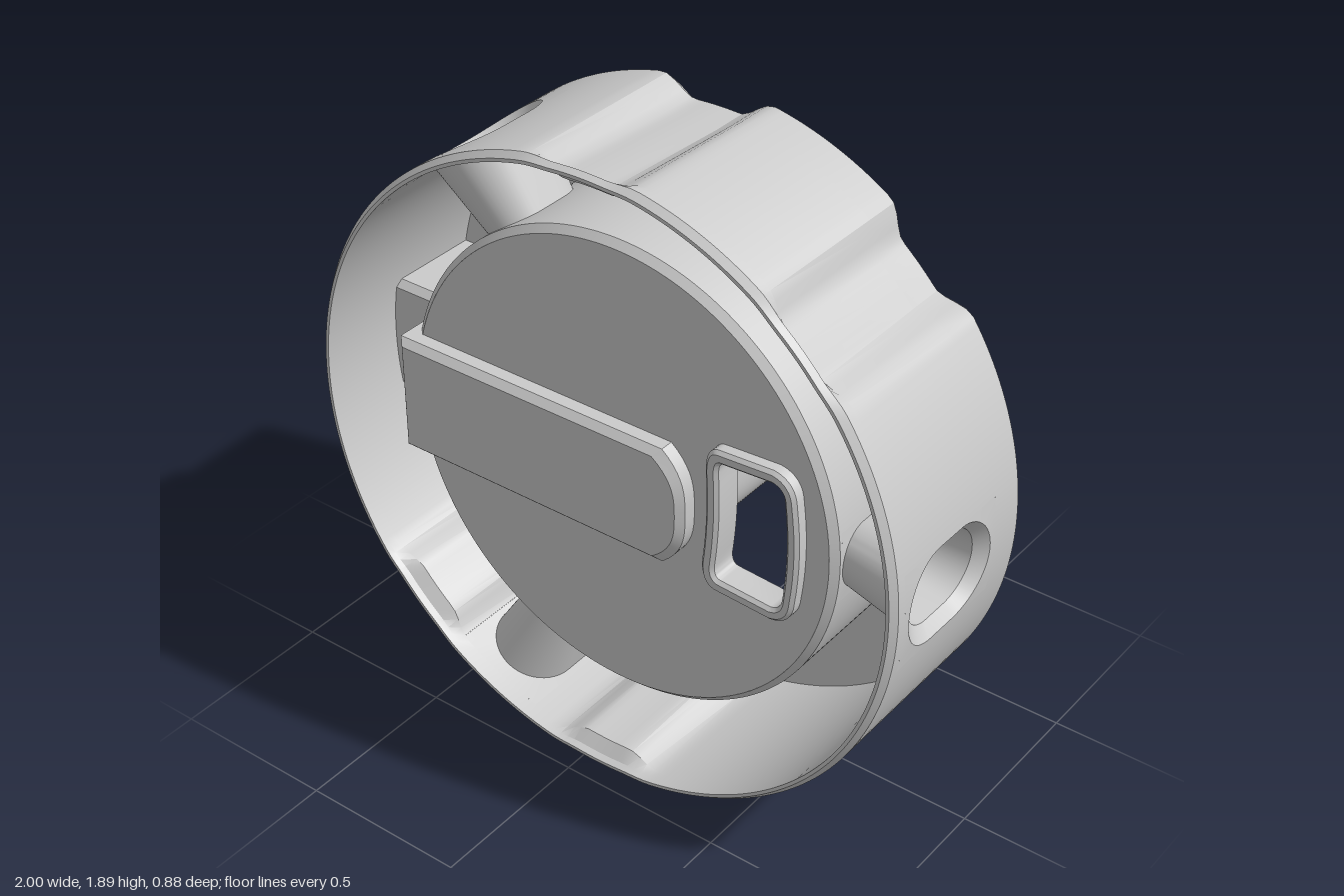
import * as THREE from 'three';
import { toCreasedNormals } from 'three/addons/utils/BufferGeometryUtils.js';

const CX = 0.045, CY = 0.945, DEG = Math.PI / 180;
const STEP = 1.5, SEGMENTS = 240, START = -1;
const SPOKES = [-1, 125, 245], SPOKE_HALF = 9;
const NOTCHES = [46, 91, 226, 271];
const material = new THREE.MeshStandardMaterial({ color: 0xcccccc, side: THREE.DoubleSide });

// Skin a list of closed loops; skip(row, column) leaves openings
function skin(loops, flip = false, skip = () => false) {
  const pos = [];
  for (let i = 0; i < loops.length - 1; i++) {
    const n = loops[i].length;
    for (let j = 0; j < n; j++) {
      if (skip(i, j)) continue;
      const k = (j + 1) % n;
      const a = loops[i][j], b = loops[i][k], c = loops[i + 1][k], d = loops[i + 1][j];
      const order = flip ? [a, c, b, a, d, c] : [a, b, c, a, c, d];
      order.forEach(p => pos.push(...p));
    }
  }
  const g = new THREE.BufferGeometry();
  g.setAttribute('position', new THREE.Float32BufferAttribute(pos, 3));
  return toCreasedNormals(g, 0.45);
}

function add(parent, name, geometry) {
  const mesh = new THREE.Mesh(geometry, material);
  mesh.name = name;
  parent.add(mesh);
  return mesh;
}

// Point from radius, angle in degrees and depth
const polar = (r, deg, z) => [CX + r * Math.cos(deg * DEG), CY + r * Math.sin(deg * DEG), z];

// Depth of the grip notches around the rim, 0 to 1
function notch(deg) {
  let depth = 0;
  for (const n of NOTCHES) {
    const d = Math.abs(((deg - n + 540) % 360) - 180);
    depth = Math.max(depth, THREE.MathUtils.smoothstep(11 - d, 0, 6.5));
  }
  return depth;
}

// Turned shell: radius, depth, notch weight, opening for spokes up to next row
function buildShell() {
  const profile = [
    [0.68, 0.31, 0], [0.68, 0.30, 0, true], [0.68, 0.01, 0], [0.68, -0.14, 0],
    [0.70, -0.16, 0], [0.935, -0.16, 1], [0.955, -0.14, 1], [0.955, -0.03, 1, true],
    [0.955, 0.39, 0.7], [0.955, 0.42, 0.2], [0.94, 0.44, 0.1], [0.93, 0.44, 0.1],
    [0.93, 0.42, 0.2], [0.93, 0.39, 0.7, true], [0.93, -0.03, 1], [0.93, -0.13, 1],
    [0.71, -0.13, 0], [0.71, 0.01, 0, true], [0.71, 0.30, 0], [0.71, 0.31, 0], [0.69, 0.33, 0],
  ];
  const loops = profile.map(([r, z, w]) => Array.from({ length: SEGMENTS }, (_, j) => {
    const deg = START + j * STEP;
    return polar(r - 0.065 * w * notch(deg), deg, z);
  }));
  const inSpoke = j => SPOKES.some(s => {
    const d = ((START + (j + 0.5) * STEP - s + 540) % 360) - 180;
    return Math.abs(d) < SPOKE_HALF;
  });
  return skin(loops, false, (i, j) => profile[i][3] === true && inSpoke(j));
}

// Loops used by the hollow spokes
const ROUND = Array.from({ length: 48 }, (_, i) => [Math.cos(i * 7.5 * DEG), Math.sin(i * 7.5 * DEG)]);
function frameLoop(r, deg, z0, z1) {
  return ROUND.map(([c, s]) => {
    const m = Math.max(Math.abs(c), Math.abs(s));
    return polar(r, deg + SPOKE_HALF * s / m, (z0 + z1) / 2 + (z1 - z0) / 2 * c / m);
  });
}
function slotLoop(r, deg, zc, halfZ, halfT) {
  return ROUND.map(([c, s]) => polar(r, deg + halfT * s / r / DEG,
    zc + (halfZ - halfT) * Math.sign(c) + halfT * c));
}

function buildSpoke(group, deg) {
  const spoke = new THREE.Group();
  spoke.name = 'spoke';
  add(spoke, 'spokeTunnel', skin([
    frameLoop(0.955, deg, -0.03, 0.39),
    slotLoop(0.955, deg, 0.18, 0.19, 0.143),
    slotLoop(0.92, deg, 0.17, 0.15, 0.112),
    slotLoop(0.68, deg, 0.16, 0.125, 0.085),
    frameLoop(0.68, deg, 0.01, 0.30),
  ], true));
  add(spoke, 'spokeOutside', skin([
    frameLoop(0.93, deg, -0.03, 0.39),
    slotLoop(0.93, deg, 0.175, 0.17, 0.126),
    slotLoop(0.71, deg, 0.16, 0.138, 0.096),
    frameLoop(0.71, deg, 0.01, 0.30),
  ]));
  group.add(spoke);
}

// Bar section with a rounded right end
function barLoop(x0, end, z, inset) {
  const half = 0.18 - inset, pts = [[x0 + inset, CY + half, z], [x0 + inset, CY - half, z]];
  for (let k = -10; k <= 10; k++) {
    const u = k / 10;
    pts.push([end - inset - 0.075 * Math.abs(u) ** 3, CY + u * half, z]);
  }
  return pts;
}
function buildBar(x0, levels) {
  const loops = levels.map(([z, end, inset]) => barLoop(x0, end, z, inset));
  const cap = loop => loop.map(() => [-0.3, CY, loop[0][2]]);
  return skin([cap(loops[0]), ...loops, cap(loops[loops.length - 1])]);
}

// Window outline, shrunk by an inset and with rounded corners
function windowPath(target, inset) {
  const l = 0.36 + inset, r = 0.665 - inset, b = 0.73 + inset, t = 1.20 - inset, c = 0.085 - inset;
  target.moveTo(l + c * 0.6, b + 0.01);
  target.lineTo(r - c, b);
  target.quadraticCurveTo(r - c * 0.2, b + c * 0.1, r - c * 0.15, b + c);
  target.quadraticCurveTo(r + 0.01, (b + t) / 2, r - c * 0.15, t - c);
  target.quadraticCurveTo(r - c * 0.2, t - c * 0.1, r - c, t);
  target.lineTo(l + c * 0.6, t - 0.01);
  target.quadraticCurveTo(l + 0.01, t - 0.01, l + 0.01, t - c);
  target.quadraticCurveTo(l + 0.02, (b + t) / 2, l, b + c);
  target.quadraticCurveTo(l, b + 0.01, l + c * 0.6, b + 0.01);
  return target;
}

export function createModel() {
  const group = new THREE.Group();
  group.name = 'rotaryKnob';

  add(group, 'rimAndCup', buildShell());
  SPOKES.forEach(deg => buildSpoke(group, deg));

  // Front disc closing the cup, pierced by the window
  const disc = new THREE.Shape().absarc(CX, CY, 0.69, 0, Math.PI * 2);
  disc.holes.push(windowPath(new THREE.Path(), 0.03));
  add(group, 'frontDisc', toCreasedNormals(new THREE.ExtrudeGeometry(disc,
    { depth: 0.02, bevelEnabled: false, curveSegments: 60 }), 0.5)).position.z = 0.31;

  // Collar around the window
  const collar = windowPath(new THREE.Shape(), 0.01);
  collar.holes.push(windowPath(new THREE.Path(), 0.03));
  add(group, 'windowCollar', toCreasedNormals(new THREE.ExtrudeGeometry(collar,
    { depth: 0.08, bevelThickness: 0.01, bevelSize: 0.01, bevelSegments: 1, curveSegments: 8 }), 0.5))
    .position.z = 0.28;

  // Lever behind the disc and the raised bar in front of it
  add(group, 'lever', buildBar(-1, [
    [-0.445, 0.15, 0.02], [-0.425, 0.17, 0], [-0.36, 0.27, 0], [-0.32, 0.312, 0],
    [0.145, 0.312, 0], [0.165, 0.312, 0.02],
  ]));
  add(group, 'frontBar', buildBar(-0.665, [
    [0.14, 0.312, 0], [0.37, 0.312, 0], [0.39, 0.312, 0.02],
  ]));
  return group;
}
